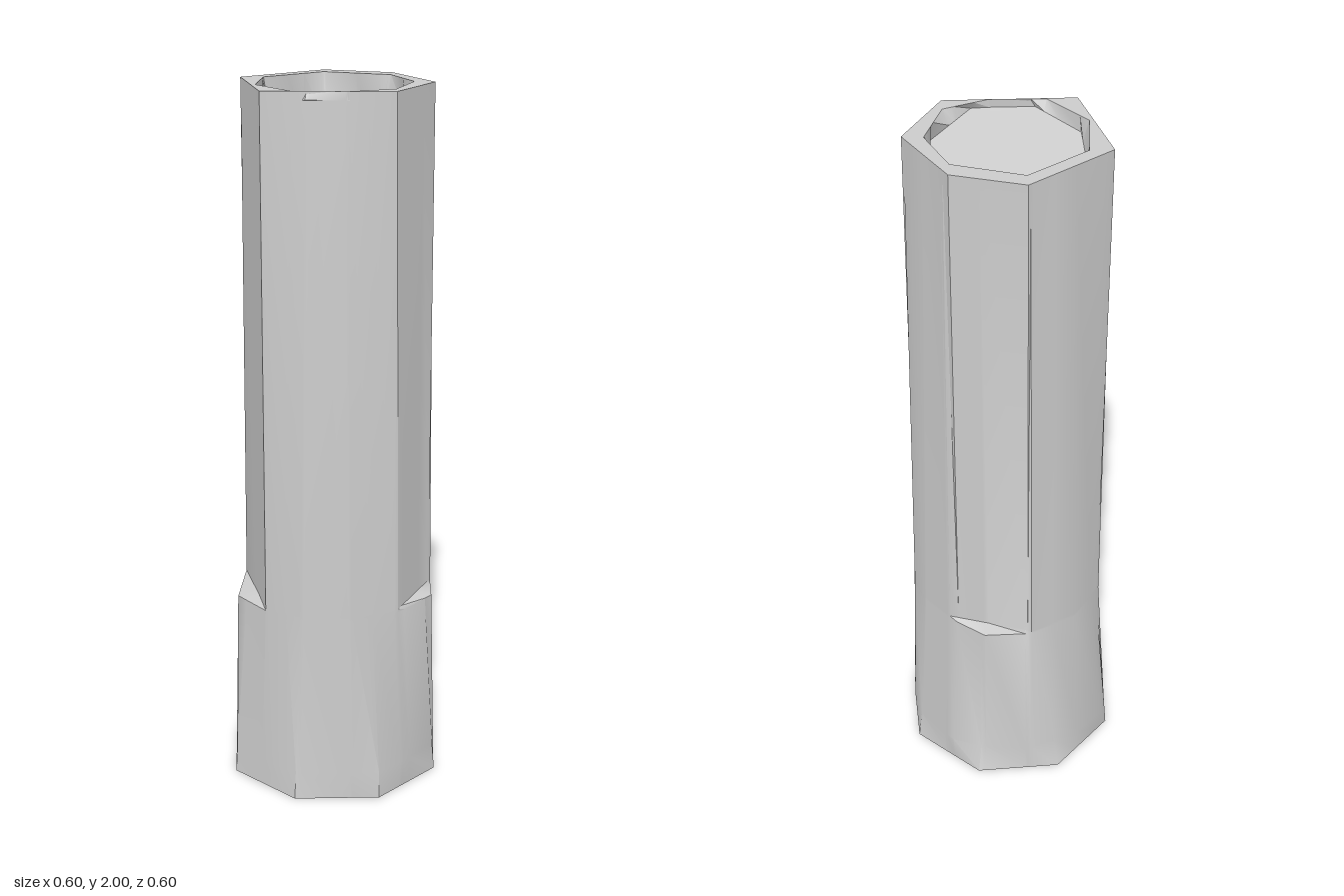
import * as THREE from 'three';
import { toCreasedNormals } from 'three/addons/utils/BufferGeometryUtils.js';

const TAU = Math.PI * 2;
const angleOf = ([x, z]) => (Math.atan2(z, x) + TAU) % TAU;

// Regular polygon, first corner at the given angle in degrees
const polygon = (sides, r, deg) => Array.from({ length: sides }, (_, i) => {
  const a = (deg * Math.PI) / 180 + (i * TAU) / sides;
  return [r * Math.cos(a), r * Math.sin(a)];
});

// Point where a ray from the axis crosses a convex-ish outline
function pointAt(outline, a) {
  const c = Math.cos(a), s = Math.sin(a);
  for (let i = 0; i < outline.length; i++) {
    const [x1, z1] = outline[i], [x2, z2] = outline[(i + 1) % outline.length];
    const dx = x2 - x1, dz = z2 - z1;
    const den = c * dz - s * dx;
    if (Math.abs(den) < 1e-9) continue;
    const r = (x1 * dz - z1 * dx) / den;
    const t = (x1 * s - z1 * c) / den;
    if (r > 0 && t >= -1e-6 && t <= 1 + 1e-6) return [r * c, r * s];
  }
  return [0, 0];
}

// Skin a list of { outline, y } sections sampled at shared angles; close both ends
function loft(sections, angles) {
  const rings = sections.map(({ outline, y }) => angles.map((a) => {
    const [x, z] = pointAt(outline, a);
    return new THREE.Vector3(x, typeof y === 'function' ? y(x, z) : y, z);
  }));
  const pos = [], n = angles.length;
  const tri = (...pts) => {
    const [a, b, c] = pts;
    const area = b.clone().sub(a).cross(c.clone().sub(a)).length();
    if (area > 1e-7) pts.forEach((p) => pos.push(p.x, p.y, p.z));
  };
  const centre = (ring) => new THREE.Vector3(0, ring.reduce((s, p) => s + p.y, 0) / n, 0);
  const first = rings[0], last = rings[rings.length - 1];
  const c0 = centre(first), c1 = centre(last);
  for (let i = 0; i < n; i++) {
    const j = (i + 1) % n;
    tri(c0, first[i], first[j]);
    for (let k = 0; k + 1 < rings.length; k++) {
      const lo = rings[k], up = rings[k + 1];
      tri(lo[i], up[i], up[j]);
      tri(lo[i], up[j], lo[j]);
    }
    tri(last[i], c1, last[j]);
  }
  const geometry = new THREE.BufferGeometry();
  geometry.setAttribute('position', new THREE.Float32BufferAttribute(pos, 3));
  return toCreasedNormals(geometry, 0.6);
}

export function createModel() {
  // Outlines as [x, z], running from +x towards +z
  const foot = polygon(8, 0.317, 20);
  const flare = [[0.3, 0.02], [0.297, 0.105], [0.23, 0.19], [0.13, 0.28], [-0.1, 0.298], [-0.21, 0.21],
    [-0.3, 0.11], [-0.3, -0.05], [-0.21, -0.215], [-0.05, -0.3], [0.14, -0.28], [0.28, -0.137]];
  const shoulder = [[0.27, 0.01], [0.22, 0.155], [0.125, 0.24], [0, 0.27], [-0.135, 0.255], [-0.245, 0.125],
    [-0.275, -0.02], [-0.23, -0.16], [-0.135, -0.255], [-0.01, -0.27], [0.1, -0.26], [0.18, -0.22], [0.25, -0.15]];
  // Three bulging corners are cut flat, leaving small ledges
  const waist = shoulder.filter((_, i) => ![4, 8, 12].includes(i));
  const rim = [[0.255, 0.02], [0, 0.27], [-0.255, 0.11], [-0.215, -0.17], [-0.035, -0.262], [0.19, -0.195]];
  const mouth = [[0.218, -0.015], [0.165, 0.11], [0.055, 0.21], [-0.105, 0.19],
    [-0.21, 0.065], [-0.18, -0.135], [0, -0.22], [0.145, -0.16]];
  const well = polygon(8, 0.212, 20);

  const angles = [...foot, ...shoulder, ...rim, ...mouth].map(angleOf)
    .sort((a, b) => a - b)
    .filter((a, i, all) => i === 0 || a - all[i - 1] > 0.015);

  const sections = [
    { outline: foot, y: 0 },
    { outline: flare, y: 0.08 },
    { outline: shoulder, y: 0.54 },
    { outline: waist, y: 0.55 },
    { outline: rim, y: 2 },
    { outline: mouth, y: 2 },
    // Sloping floor of the shallow hollow
    { outline: well, y: (x, z) => 1.93 + 0.17 * (x + z) },
  ];

  const group = new THREE.Group();
  group.name = 'hollowPost';
  const post = new THREE.Mesh(
    loft(sections, angles),
    new THREE.MeshStandardMaterial({ color: 0xcccccc, side: THREE.DoubleSide }),
  );
  post.name = 'postWithFlaredFootAndHollowTop';
  group.add(post);
  return group;
}
